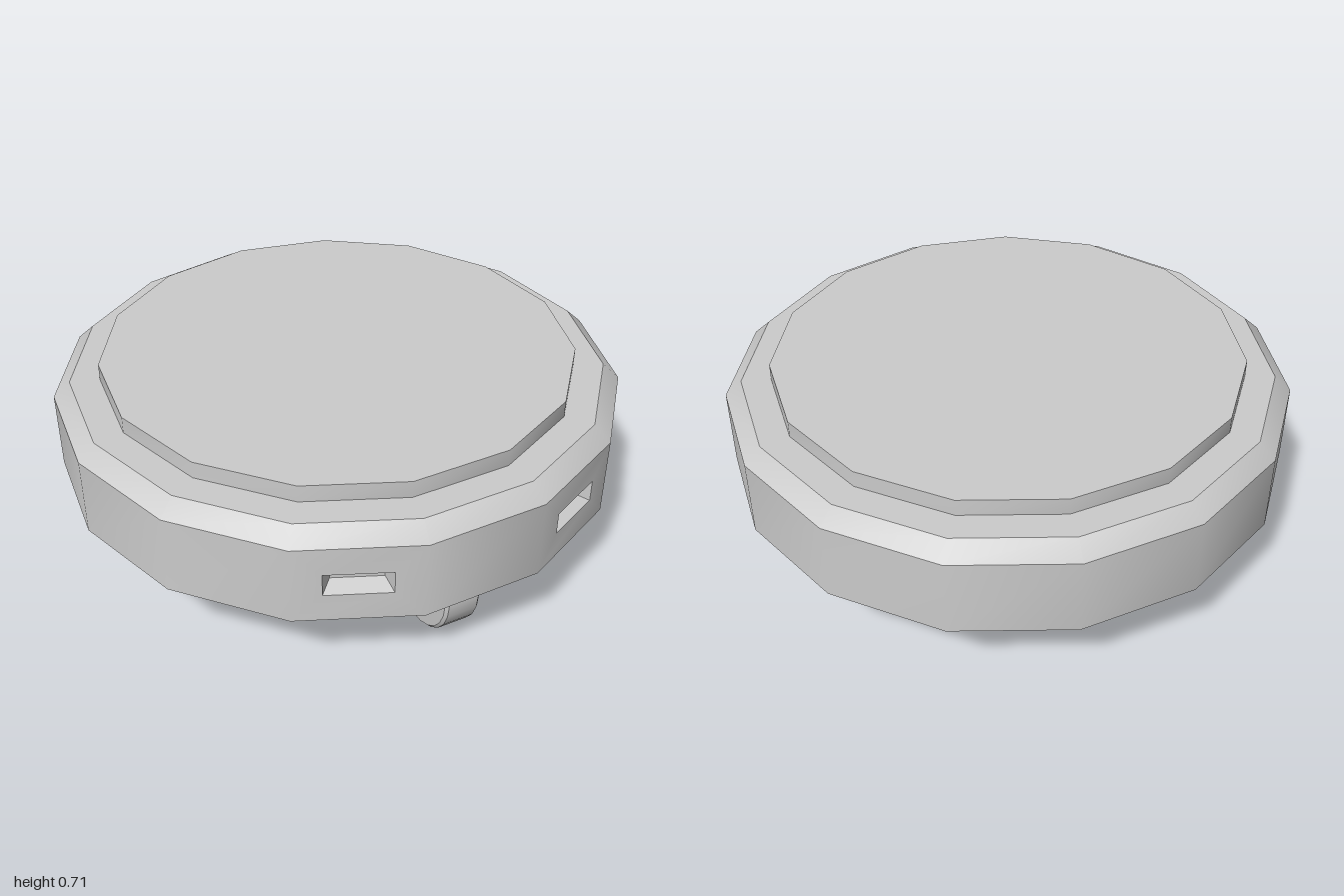
import * as THREE from 'three';
import { toCreasedNormals } from 'three/addons/utils/BufferGeometryUtils.js';

const SIDES = 15;
const TWIST = THREE.MathUtils.degToRad(-1.1);
const CENTRE_Z = 0.01;
const SLOT_FACETS = [6, 8]; // the facets either side of the front one

const material = new THREE.MeshStandardMaterial({ color: 0xcccccc });

// Corner k of a 15-sided ring, counted from the back towards +x
function corner([r, y], k) {
  const a = (k * 2 * Math.PI) / SIDES + TWIST;
  return new THREE.Vector3(r * Math.sin(a), y, -r * Math.cos(a) + CENTRE_Z);
}

function addQuad(out, a, b, c, d) {
  for (const tri of [[a, b, c], [a, c, d]]) {
    const [p, q, s] = tri;
    const area = q.clone().sub(p).cross(s.clone().sub(p)).length();
    if (area > 1e-9) for (const v of tri) out.push(v.x, v.y, v.z);
  }
}

// Joins two matching loops of four corners with four quads
function addFrame(out, outer, inner) {
  for (let i = 0; i < 4; i++) {
    const j = (i + 1) % 4;
    addQuad(out, outer[i], outer[j], inner[j], inner[i]);
  }
}

// A facet with a tapered rectangular recess at its middle
function addSlottedFacet(out, quad) {
  const across = quad[1].clone().sub(quad[0]).normalize();
  const up = new THREE.Vector3(0, 1, 0);
  const normal = across.clone().cross(up);
  const centre = quad[0].clone().add(quad[1]).multiplyScalar(0.5).setY(0.46);
  const rect = (w, h, depth) =>
    [[-1, -1], [1, -1], [1, 1], [-1, 1]].map(([s, t]) =>
      centre.clone()
        .addScaledVector(across, (s * w) / 2)
        .addScaledVector(up, (t * h) / 2)
        .addScaledVector(normal, -depth));
  const opening = rect(0.22, 0.08, 0);
  const floor = rect(0.17, 0.038, 0.055);
  addFrame(out, quad, opening);
  addFrame(out, opening, floor);
  addQuad(out, ...floor);
}

// Faceted solid from [radius, y] rings listed from bottom to top
function ringSolid(rings, slottedBand = -1) {
  const out = [];
  for (let i = 0; i < rings.length - 1; i++) {
    for (let k = 0; k < SIDES; k++) {
      const quad = [
        corner(rings[i], k + 1), corner(rings[i], k),
        corner(rings[i + 1], k), corner(rings[i + 1], k + 1),
      ];
      if (i === slottedBand && SLOT_FACETS.includes(k)) addSlottedFacet(out, quad);
      else addQuad(out, ...quad);
    }
  }
  const geometry = new THREE.BufferGeometry();
  geometry.setAttribute('position', new THREE.Float32BufferAttribute(out, 3));
  return toCreasedNormals(geometry, 0.5);
}

// Wheel with bevelled rims, axle along x
function wheelGeometry(radius, width, bevel) {
  const h = width / 2;
  const profile = [
    [0, -h], [radius - bevel, -h], [radius, -h + bevel],
    [radius, h - bevel], [radius - bevel, h], [0, h],
  ].map(([x, y]) => new THREE.Vector2(x, y));
  const geometry = new THREE.LatheGeometry(profile, 24);
  geometry.rotateZ(Math.PI / 2);
  return toCreasedNormals(geometry, 0.5);
}

export function createModel() {
  const model = new THREE.Group();
  model.name = 'wheeledDisc';

  const add = (name, geometry) => {
    const mesh = new THREE.Mesh(geometry, material);
    mesh.name = name;
    model.add(mesh);
    return mesh;
  };

  // Chamfered body with two recessed slots at the front
  add('body', ringSolid([
    [0, 0.27], [0.95, 0.27], [1.005, 0.32],
    [1.005, 0.6], [0.945, 0.655], [0, 0.655],
  ], 2));

  // Raised plate on top
  add('topPlate', ringSolid([[0.84, 0.655], [0.84, 0.715], [0, 0.715]]));

  // Three wheels: one at the front, one on each side
  const wheel = wheelGeometry(0.207, 0.13, 0.01);
  const wheels = [
    ['frontWheel', 0.015, 0.69],
    ['leftWheel', 0.71, 0.01],
    ['rightWheel', -0.7, 0.01],
  ];
  for (const [name, x, z] of wheels) add(name, wheel).position.set(x, 0.21, z);

  return model;
}
